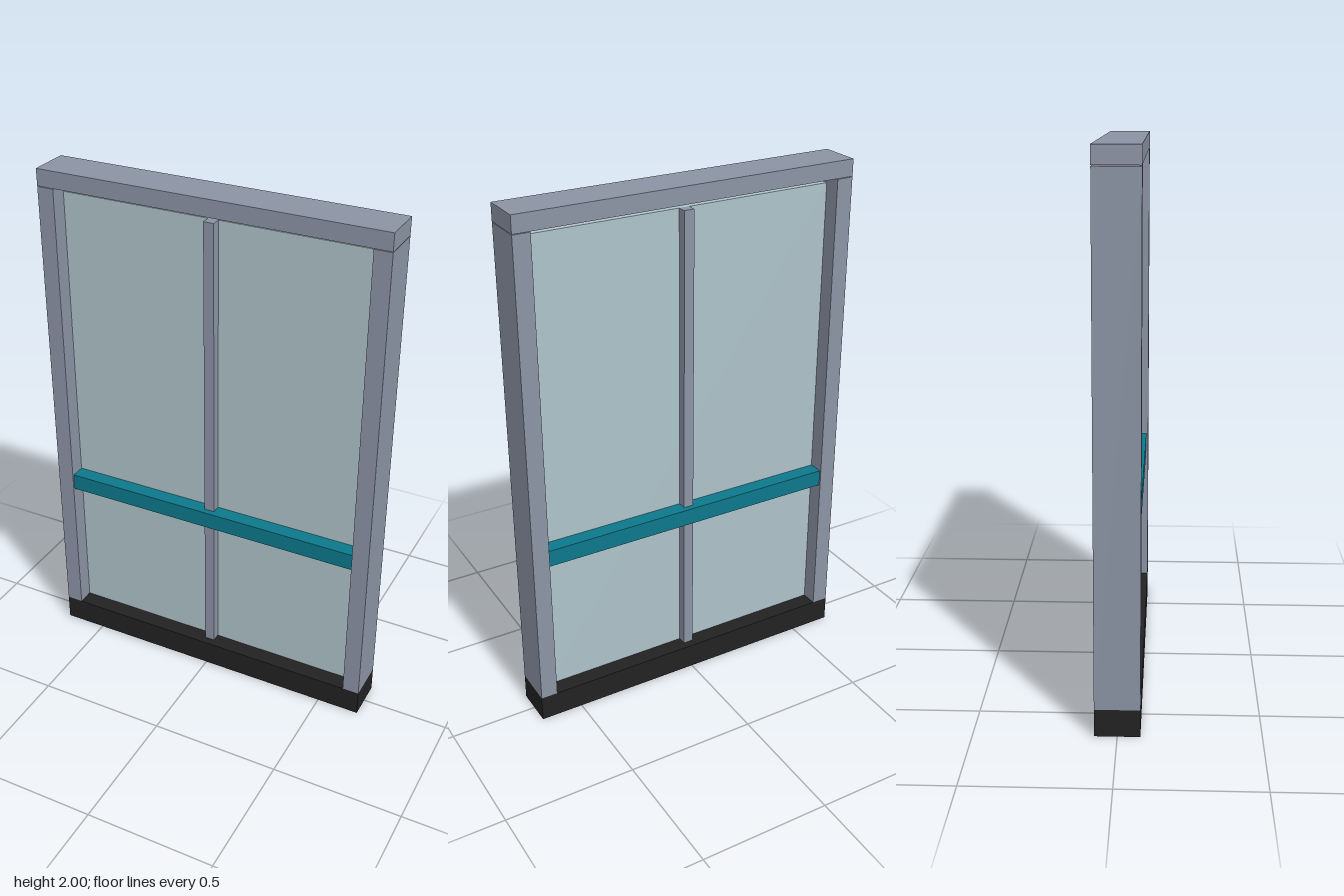
import * as THREE from 'three';

const material = (name, color) => {
  const m = new THREE.MeshStandardMaterial({ color });
  m.name = name;
  return m;
};

export function createModel() {
  const frame = material('grey frame', 0x8b93a4);
  const glass = material('pale glass', 0xadc3c9);
  const teal = material('teal rail', 0x0c788b);
  const black = material('black base', 0x222222);

  const model = new THREE.Group();
  model.name = 'glazedPanel';

  // Box given by its width, depth and vertical extent
  const addBox = (name, mat, width, depth, bottom, top, x = 0) => {
    const mesh = new THREE.Mesh(new THREE.BoxGeometry(width, top - bottom, depth), mat);
    mesh.name = name;
    mesh.position.set(x, (bottom + top) / 2, 0);
    model.add(mesh);
  };

  // Outer frame
  addBox('basePlinth', black, 1.33, 0.16, 0, 0.1);
  addBox('topBeam', frame, 1.33, 0.16, 1.936, 2);
  for (const side of [-1, 1]) {
    addBox(side > 0 ? 'leftPost' : 'rightPost', frame, 0.065, 0.16, 0.1, 1.934, side * 0.6325);
  }

  // Infill: glass stops short of the beam, leaving a narrow slot
  addBox('glassPane', glass, 1.2, 0.03, 0.1, 1.906);
  addBox('mullion', frame, 0.04, 0.1, 0.1, 1.906);
  addBox('crossRail', teal, 1.2, 0.146, 0.672, 0.737);

  return model;
}
